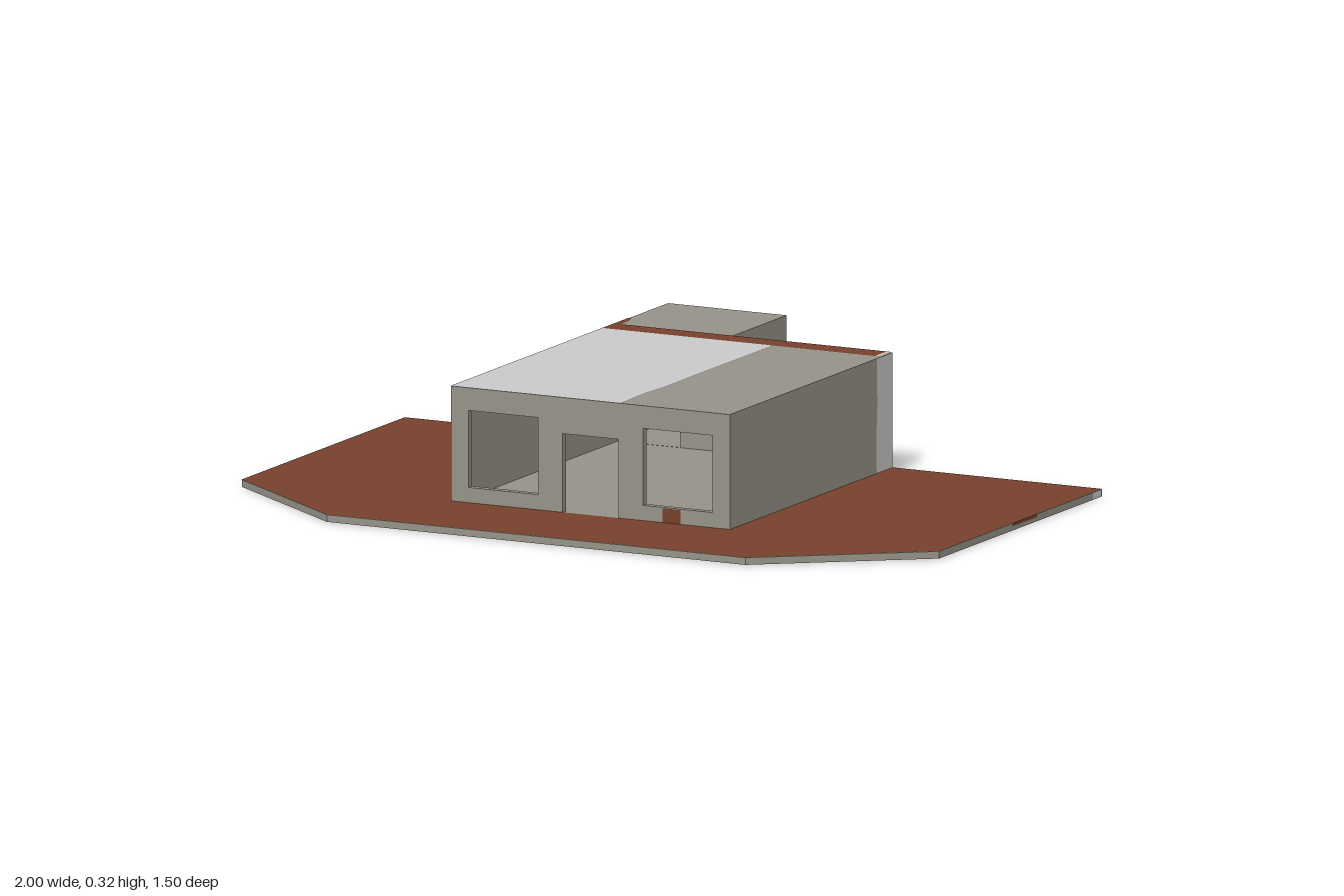
import * as THREE from 'three';

const T = 0.02;      // wall thickness
const H = 0.319;     // top of the roof slabs
const BASE = 0.0195; // top of the ground slab
const GAP = 0.001;   // how far painted faces stand off

export function createModel() {
  const model = new THREE.Group();
  model.name = 'building';
  const paint = (name, color) => {
    const m = new THREE.MeshStandardMaterial({ color });
    m.name = name;
    return m;
  };
  const concrete = paint('concrete grey', 0x969389);
  const pale = paint('pale grey', 0xcacaca);
  const earth = paint('earth brown', 0x76412c);

  const add = (name, geometry, material) => {
    const mesh = new THREE.Mesh(geometry, material);
    mesh.name = name;
    model.add(mesh);
    return mesh;
  };
  const shapeOf = (pts) => new THREE.Shape(pts.map(([x, y]) => new THREE.Vector2(x, y)));
  const rect = (x0, x1, y0, y1) => [[x0, y0], [x1, y0], [x1, y1], [x0, y1]];
  const block = (name, x0, x1, y0, y1, z0, z1) =>
    add(name, new THREE.BoxGeometry(x1 - x0, y1 - y0, z1 - z0)
      .translate((x0 + x1) / 2, (y0 + y1) / 2, (z0 + z1) / 2), concrete);

  // upright wall facing z with rectangular openings
  const wall = (name, z0, openings) => {
    const shape = shapeOf(rect(-0.4, 0.4, BASE, H - T));
    openings.forEach((o) => shape.holes.push(shapeOf(rect(...o))));
    const geo = new THREE.ExtrudeGeometry(shape, { depth: T, bevelEnabled: false });
    add(name, geo.translate(0, 0, z0), concrete);
  };

  // flat painted face; points are (x,z) on top and bottom, (z,y) on the side, (x,y) on front and back
  const face = (name, side, level, pts, material, hole) => {
    const map = {
      top: ([x, z]) => [x, -z], bottom: (p) => p, left: ([z, y]) => [-z, y],
      front: (p) => p, back: ([x, y]) => [-x, y],
    }[side];
    const shape = shapeOf(pts.map(map));
    if (hole) shape.holes.push(shapeOf(hole.map(map)));
    const geo = new THREE.ShapeGeometry(shape);
    if (side === 'top') geo.rotateX(-Math.PI / 2).translate(0, level, 0);
    if (side === 'bottom') geo.rotateX(Math.PI / 2).translate(0, level, 0);
    if (side === 'left') geo.rotateY(Math.PI / 2).translate(level, 0, 0);
    if (side === 'back') geo.rotateY(Math.PI).translate(0, 0, level);
    if (side === 'front') geo.translate(0, 0, level);
    add(name, geo, material);
  };

  // ground slab with chamfered front corners
  const plot = [[-1, -0.45], [1, -0.45], [1, 0.45], [0.6, 0.75], [-0.6, 0.75], [-1, 0.45]];
  const slab = new THREE.ExtrudeGeometry(shapeOf(plot.map(([x, z]) => [x, -z])),
    { depth: BASE - GAP, bevelEnabled: false });
  add('groundSlab', slab.rotateX(-Math.PI / 2).translate(0, GAP, 0), concrete);
  face('groundSurface', 'top', 0.0205, plot, earth, rect(-0.3999, 0.3999, -0.4499, 0.4499));

  // main hall: front with two windows and a door, back with a doorway
  wall('frontWall', 0.45 - T, [
    [-0.35, -0.15, 0.06, 0.26],
    [-0.08, 0.08, BASE + 0.0005, 0.225],
    [0.15, 0.35, 0.06, 0.26],
  ]);
  wall('backWall', -0.45, [[-0.35, -0.2, BASE + 0.0005, 0.24]]);
  for (const s of [-1, 1]) {
    const x = s * (0.4 - T / 2);
    block('sideWall', x - T / 2, x + T / 2, BASE, H - T, -0.45 + T, 0.45 - T);
  }
  block('roof', -0.4, 0.4, H - T, H, -0.45, 0.45);

  // rear annex
  block('annexFloor', -0.4, -0.06, GAP, BASE, -0.75, -0.45);
  block('annexBackWall', -0.4, -0.06, BASE, H - T, -0.75, -0.75 + T);
  block('annexSideWall', -0.4, -0.4 + T, BASE, H - T, -0.75 + T, -0.45);
  block('annexSideWall', -0.06 - T, -0.06, BASE, H - T, -0.75 + T, -0.45);
  block('annexRoof', -0.4, -0.06, H - T, H, -0.75, -0.45);

  // roof colours
  const roofY = H + GAP;
  face('paleRoof', 'top', roofY,
    [[-0.4, -0.385], [0.09, -0.385], [0.088, 0], [0.09, 0.2], [0.083, 0.3], [0.087, 0.45], [-0.4, 0.45]], pale);
  face('brownRoofStrip', 'top', roofY, rect(-0.4, 0.383, -0.45, -0.385), earth);
  face('paleRoofCorner', 'top', roofY, rect(0.383, 0.395, -0.45, -0.385), pale);
  face('annexRoofStain', 'top', roofY,
    [[-0.4, -0.45], [-0.38, -0.45], [-0.383, -0.5], [-0.392, -0.53], [-0.4, -0.53]], earth);

  // pale paint on the side and back
  face('paleSideBand', 'left', 0.4 + GAP,
    [[-0.445, 0.021], [-0.36, 0.021], [-0.357, 0.1], [-0.363, 0.2], [-0.36, 0.319], [-0.445, 0.319]], pale);
  face('paleBackPaint', 'back', -0.45 - GAP,
    [[0.4, 0.02], [0.19, 0.02], [0.17, 0.1], [0.13, 0.18], [0.12, 0.319], [0.4, 0.319]], pale);
  face('paleSlabEdge', 'left', 1 + GAP / 2, rect(-0.445, -0.4, GAP, 0.02), pale);
  face('brownSlabEdge', 'left', 1 + GAP / 2, rect(-0.09, 0.045, 0.012, 0.02), earth);
  face('paleSlabBackEdge', 'back', -0.45 - GAP, rect(0.4, 1, GAP, 0.0195), pale);

  // pale streaks under the slab
  face('paleUndersideStreak', 'bottom', 0,
    [[1, -0.45], [1, -0.41], [0.87, -0.36], [0.45, -0.36], [0.39, -0.41], [0.4, -0.45]], pale);
  face('paleUndersideStreak', 'bottom', 0,
    [[-1, -0.35], [-0.66, -0.32], [-0.55, -0.27], [-0.43, -0.27], [-0.39, -0.2], [-0.41, -0.14],
      [-0.53, -0.15], [-0.68, -0.22], [-0.77, -0.22], [-1, -0.21]], pale);

  // brown stains on the front wall and on the inside of the back wall
  face('frontStain', 'front', 0.45 + GAP, rect(0.207, 0.258, 0.021, 0.058), earth);
  face('insideStain', 'front', -0.45 + T + GAP,
    [[0.18, 0.03], [0.24, 0.03], [0.238, 0.09], [0.222, 0.13], [0.205, 0.136], [0.19, 0.125], [0.192, 0.085], [0.18, 0.07]], earth);

  return model;
}
